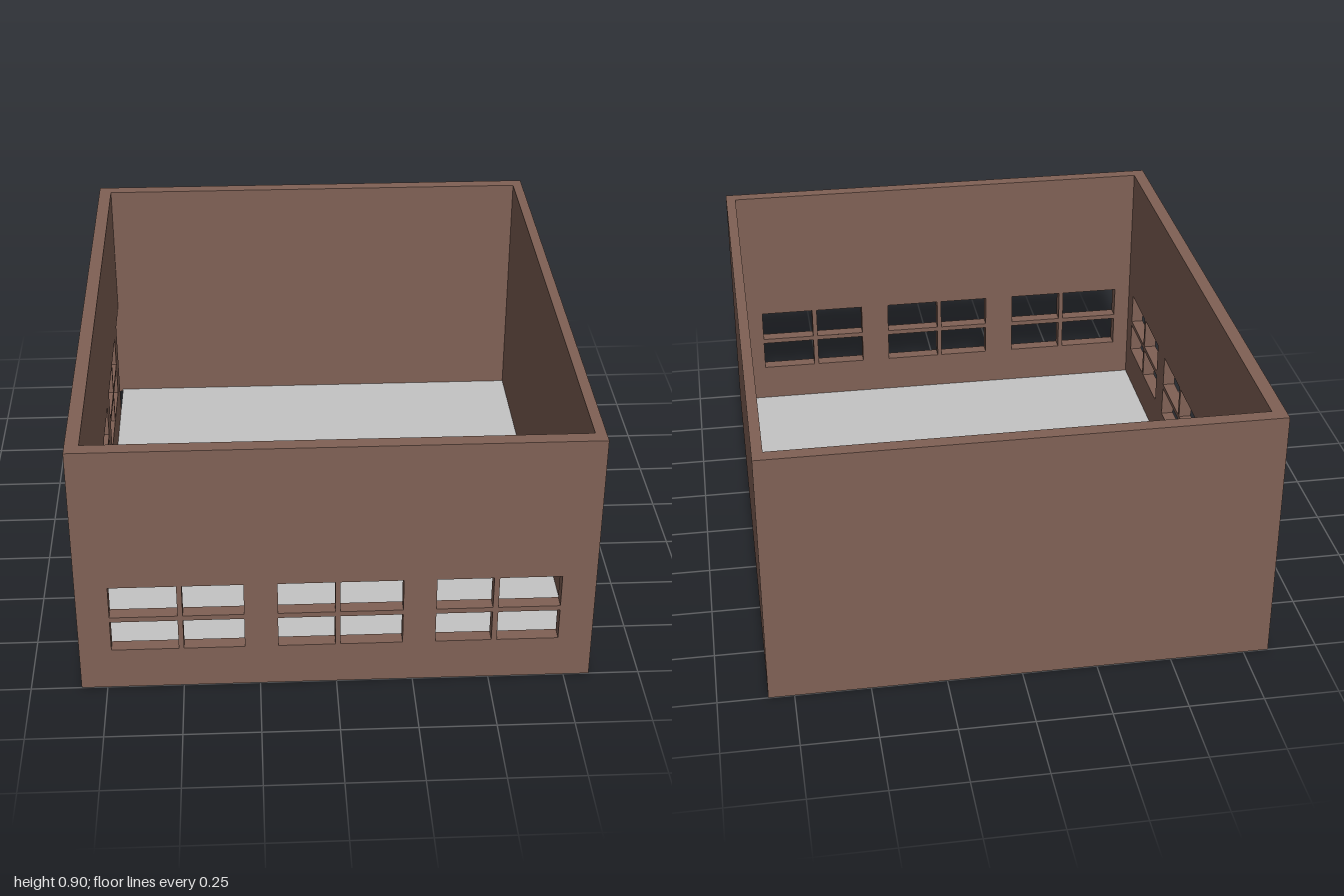
import * as THREE from 'three';

const H = 0.9;                                    // wall height
const X0 = -0.835, X1 = 0.835, XI0 = -0.79, XI1 = 0.8; // outer and inner x
const ZI = 0.953;                                 // inner z of front and back walls
const ROWS = [[0.15, 0.261], [0.279, 0.395]];     // window pane rows

// Cuts four-pane windows; each entry is [start, muntin start, muntin end, end]
function cutWindows(shape, windows) {
  for (const [a, b, c, d] of windows) {
    for (const [u0, u1] of [[a, b], [c, d]]) {
      for (const [v0, v1] of ROWS) {
        shape.holes.push(new THREE.Path([
          new THREE.Vector2(u0, v0), new THREE.Vector2(u0, v1),
          new THREE.Vector2(u1, v1), new THREE.Vector2(u1, v0),
        ]));
      }
    }
  }
}

function outline(points) {
  return new THREE.Shape(points.map(([u, v]) => new THREE.Vector2(u, v)));
}

export function createModel() {
  const group = new THREE.Group();
  const brown = new THREE.MeshStandardMaterial({ color: 0x806155 });
  brown.name = 'wallBrown';
  const grey = new THREE.MeshStandardMaterial({ color: 0xc4c4c4 });
  grey.name = 'floorGrey';

  const add = (name, geometry, material) => {
    const mesh = new THREE.Mesh(geometry, material);
    mesh.name = name;
    group.add(mesh);
    return mesh;
  };
  const box = (name, x0, x1, y0, y1, z0, z1, material) =>
    add(name, new THREE.BoxGeometry(x1 - x0, y1 - y0, z1 - z0), material)
      .position.set((x0 + x1) / 2, (y0 + y1) / 2, (z0 + z1) / 2);

  // Floor slab and the two plain walls
  box('floor', XI0, XI1, 0, 0.01, -ZI, ZI, grey);
  box('leftWall', XI1, X1, 0, H, -1, 1, brown);
  box('backWall', XI0, XI1, 0, H, -1, -ZI, brown);

  // Front wall with three windows
  const front = outline([[XI0, 0], [XI1, 0], [XI1, H], [XI0, H]]);
  cutWindows(front, [
    [-0.73, -0.512, -0.495, -0.298],
    [-0.189, -0.004, 0.012, 0.215],
    [0.322, 0.505, 0.523, 0.724],
  ]);
  add('frontWall', new THREE.ExtrudeGeometry(front, { depth: 1 - ZI, bevelEnabled: false }), brown)
    .position.z = ZI;

  // Right wall with three windows and a doorway beside the back corner
  const side = outline([
    [-1, 0], [-ZI, 0], [-ZI, 0.39], [-0.79, 0.39], [-0.79, 0], [1, 0], [1, H], [-1, H],
  ]);
  cutWindows(side, [
    [-0.68, -0.475, -0.457, -0.247],
    [-0.14, 0.09, 0.108, 0.34],
    [0.447, 0.655, 0.673, 0.88],
  ]);
  const sideGeometry = new THREE.ExtrudeGeometry(side, { depth: XI0 - X0, bevelEnabled: false });
  sideGeometry.rotateY(-Math.PI / 2);
  add('rightWall', sideGeometry, brown).position.x = XI0;

  return group;
}
